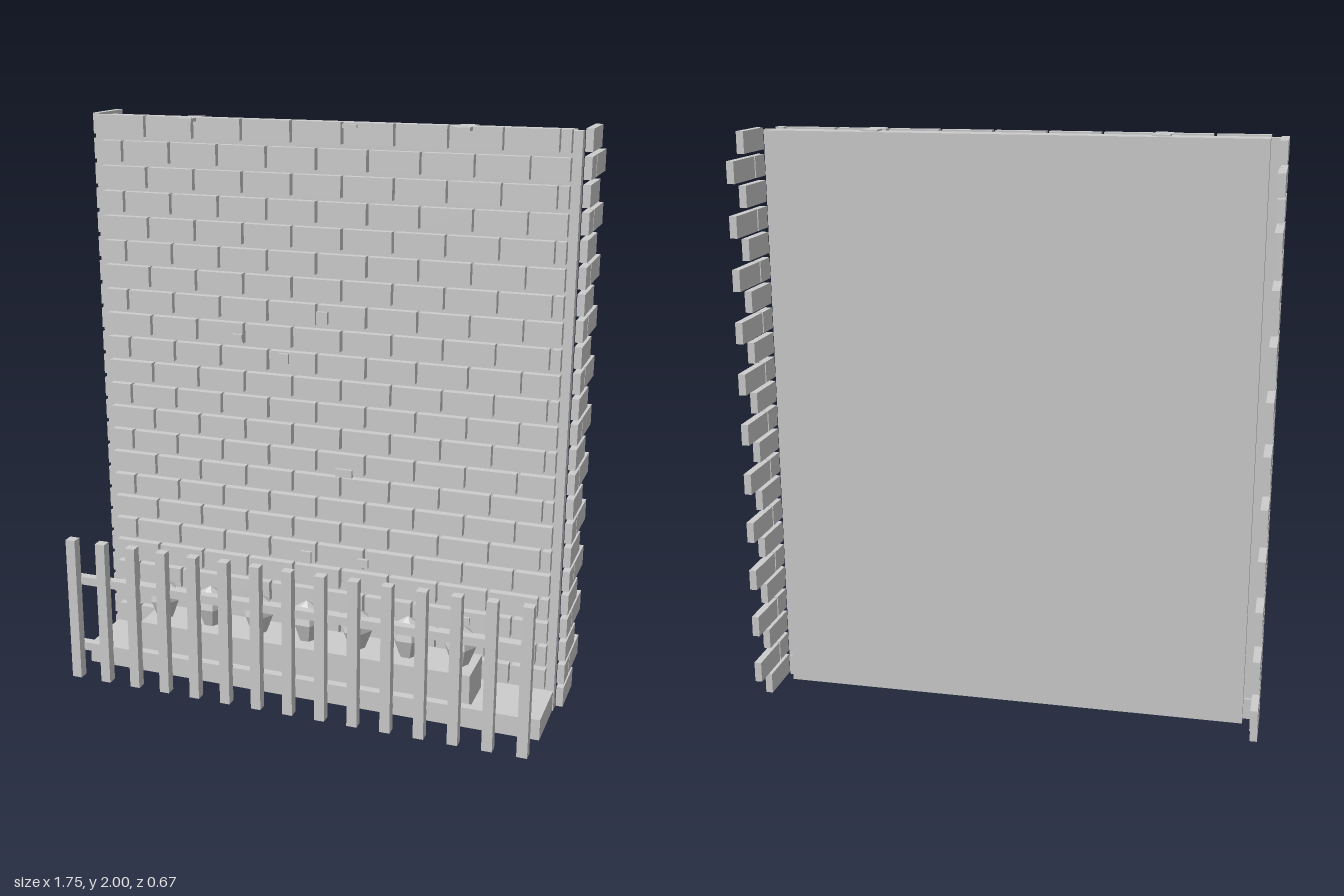
import * as THREE from 'three';

const stone = new THREE.MeshStandardMaterial({ color: 0xcccccc });
stone.name = 'grey';

// Box given by its extents on each axis
function block(parent, name, [x0, x1], [y0, y1], [z0, z1]) {
  const mesh = new THREE.Mesh(new THREE.BoxGeometry(x1 - x0, y1 - y0, z1 - z0), stone);
  mesh.position.set((x0 + x1) / 2, (y0 + y1) / 2, (z0 + z1) / 2);
  mesh.name = name;
  parent.add(mesh);
}

function section(parent, name) {
  const group = new THREE.Group();
  group.name = name;
  parent.add(group);
  return group;
}

export function createModel() {
  const model = new THREE.Group();
  model.name = 'brickWallWithPlanterAndFence';

  // Wall core, back panel and ground slab
  block(model, 'mortarWall', [-0.85, 0.85], [0.005, 1.995], [-0.072, -0.036]);
  block(model, 'backPanel', [-0.82, 0.82], [0.005, 1.995], [-0.118, -0.072]);
  block(model, 'baseSlab', [-0.847, 0.847], [0.005, 0.08], [-0.08, 0.182]);

  // Brick courses: running bond on the front, toothed returns at both sides
  const front = section(model, 'frontBricks');
  const sides = section(model, 'sideBricks');
  const rows = 23, rise = 0.0873, height = 0.072, pitch = 0.179, gap = 0.01;
  for (let r = 0; r < rows; r++) {
    const y = [0.008 + r * rise, 0.008 + r * rise + height];
    const odd = r % 2 === 1;
    if (r > 0) {
      let start = -0.82;
      let joint = odd ? -0.735 : -0.645;
      while (start < 0.815) {
        const end = Math.min(joint - gap / 2, 0.82);
        block(front, 'brick', [start, end], y, [-0.038, -0.008]);
        start = joint + gap / 2;
        joint += pitch;
      }
    }
    for (const x of [[0.852, 0.877], [-0.877, -0.852]]) {
      if (odd) {
        block(sides, 'halfBrick', x, y, [-0.152, -0.07]);
        block(sides, 'brick', x, y, [-0.333, -0.16]);
      } else {
        block(sides, 'brick', x, y, [-0.242, -0.07]);
      }
    }
  }

  // Small raised chips on the brick face: x, y, width, height
  const chips = section(model, 'brickChips');
  for (const [x, y, w, h] of [
    [0.005, 1.347, 0.04, 0.042], [-0.312, 1.252, 0.042, 0.025], [-0.137, 1.192, 0.036, 0.035],
    [0.085, 0.8, 0.062, 0.028], [-0.058, 0.466, 0.042, 0.044], [0.157, 0.472, 0.042, 0.03],
    [0.1, 1.99, 0.05, 0.012], [0.53, 0.31, 0.04, 0.03],
  ]) block(chips, 'chip', [x - w / 2, x + w / 2], [y - h / 2, y + h / 2], [-0.01, 0.003]);

  // Flat clips over the wall top
  for (const x of [-0.48, 0.478])
    block(model, 'topClip', [x - 0.029, x + 0.029], [1.988, 2], [-0.092, 0.03]);

  // Planter box with a row of faceted shrubs
  block(model, 'planterBox', [-0.612, 0.612], [0.097, 0.22], [0.052, 0.222]);
  const profile = [[0, 0.218], [0.03, 0.218], [0.056, 0.288], [0.045, 0.335], [0, 0.365]]
    .map(([r, y]) => new THREE.Vector2(r, y));
  const shrubShape = new THREE.LatheGeometry(profile, 6, Math.PI / 2).toNonIndexed();
  shrubShape.computeVertexNormals();
  const shrubs = section(model, 'shrubs');
  for (let i = -3; i <= 3; i++) {
    const shrub = new THREE.Mesh(shrubShape, stone);
    shrub.name = 'shrub';
    shrub.position.set(i * 0.185, 0, 0.138);
    shrubs.add(shrub);
  }

  // Picket fence
  const fence = section(model, 'fence');
  for (let i = -7; i <= 7; i++) {
    const x = i * 0.1172;
    block(fence, 'picket', [x - 0.018, x + 0.018], [0.018, 0.55], [0.3, 0.335]);
  }
  for (const y of [0.115, 0.372])
    block(fence, 'rail', [-0.82, 0.82], [y, y + 0.03], [0.273, 0.303]);

  return model;
}
